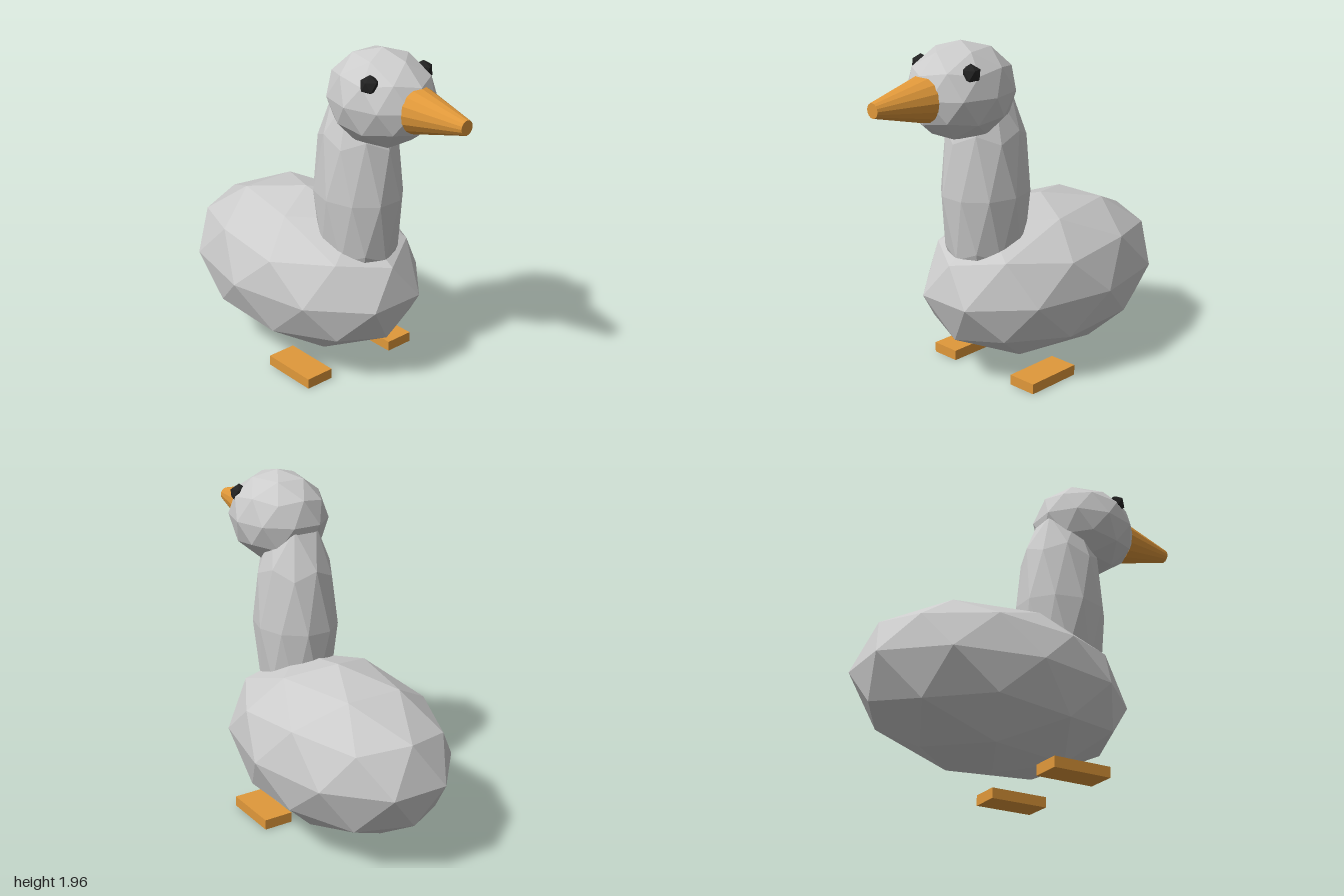
import * as THREE from 'three';

const plain = new THREE.MeshStandardMaterial({ color: 0xcccccc, flatShading: true });
const orange = new THREE.MeshStandardMaterial({ color: 0xe0983a, flatShading: true });
const black = new THREE.MeshStandardMaterial({ color: 0x222222, flatShading: true });

// Faceted ellipsoid with a vertex at the top and five-fold symmetry about y
function facetedBlob(name, radii, position, material, detail = 1) {
  const geometry = new THREE.IcosahedronGeometry(1, detail);
  geometry.rotateZ(-Math.atan(2 / (1 + Math.sqrt(5))));
  geometry.scale(...radii);
  return place(name, geometry, position, material);
}

function place(name, geometry, position, material) {
  geometry.computeVertexNormals();
  const mesh = new THREE.Mesh(geometry, material);
  mesh.name = name;
  mesh.position.set(...position);
  return mesh;
}

export function createModel() {
  const group = new THREE.Group();
  group.name = 'bird';

  // Body, neck and head
  group.add(facetedBlob('body', [0.815, 0.465, 0.54], [-0.225, 0.518, 0], plain));
  group.add(facetedBlob('neck', [0.27, 0.68, 0.235], [0.22, 1.1, 0], plain));
  group.add(facetedBlob('head', [0.325, 0.267, 0.27], [0.395, 1.69, 0], plain));

  // Beak: blunt cone pointing along +x
  const beak = new THREE.CylinderGeometry(0.04, 0.126, 0.335, 16);
  beak.rotateZ(-Math.PI / 2);
  group.add(place('beak', beak, [0.8325, 1.685, 0], orange));

  // Eyes and feet, one pair on each side
  for (const side of [-1, 1]) {
    const label = side > 0 ? 'Front' : 'Back';
    group.add(facetedBlob('eye' + label, [0.055, 0.055, 0.055], [0.505, 1.82, side * 0.19], black, 0));
    group.add(place('foot' + label, new THREE.BoxGeometry(0.345, 0.06, 0.174), [0.083, 0.03, side * 0.313], orange));
  }
  return group;
}
